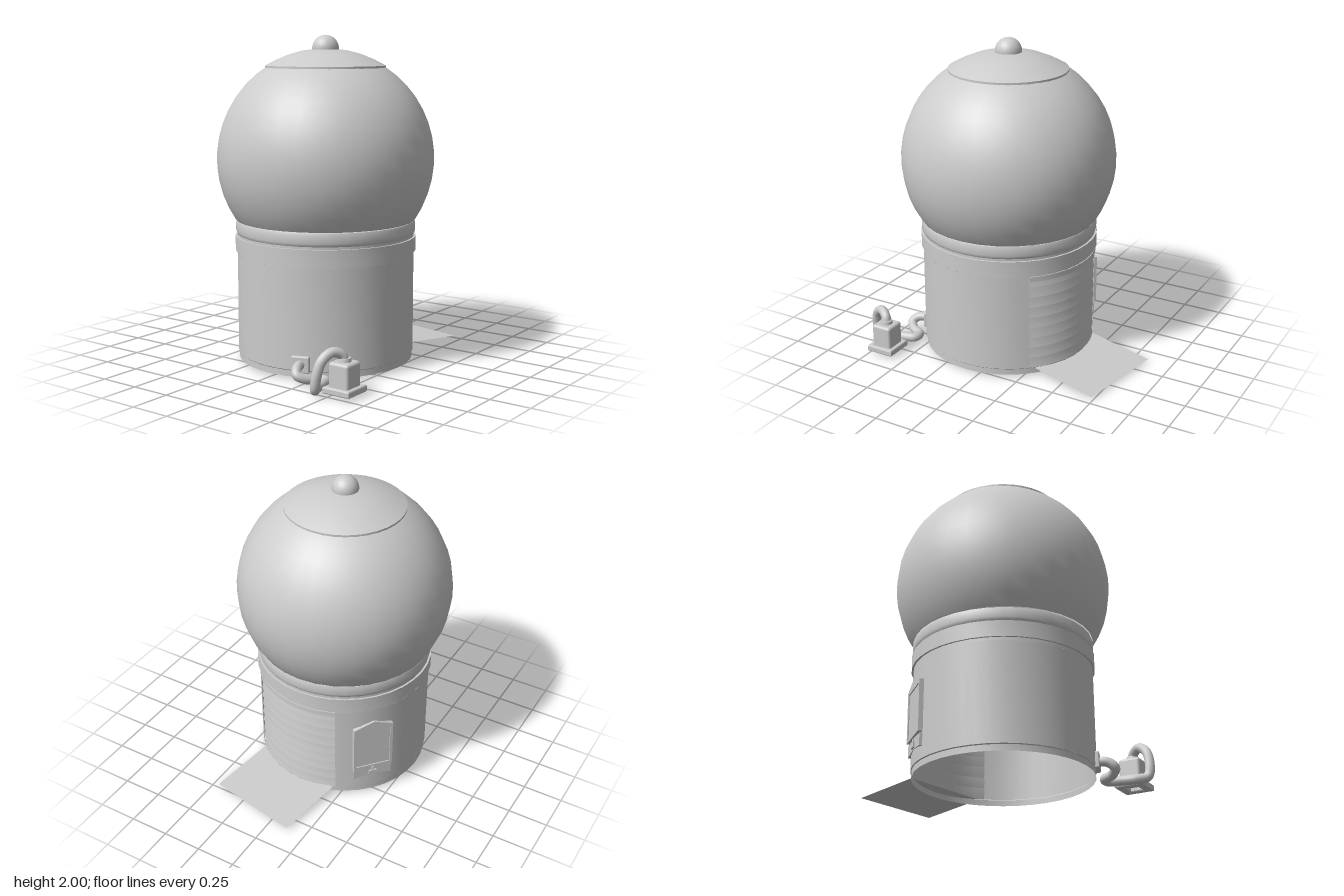
import * as THREE from 'three';
import { toCreasedNormals } from 'three/addons/utils/BufferGeometryUtils.js';
import { RoundedBoxGeometry } from 'three/addons/geometries/RoundedBoxGeometry.js';

const grey = new THREE.MeshStandardMaterial({ color: 0xcccccc, side: THREE.DoubleSide });
const rad = THREE.MathUtils.degToRad;
const AXIS_X = -0.085;

function add(parent, name, geometry, x = 0, y = 0, z = 0) {
  const mesh = new THREE.Mesh(geometry, grey);
  mesh.name = name;
  mesh.position.set(x, y, z);
  parent.add(mesh);
  return mesh;
}

// Revolved [radius, height] profile, optionally only part of a turn
function lathe(profile, from = 0, sweep = 360, segments = 36, crease = 30) {
  const points = profile.map(([r, y]) => new THREE.Vector2(r, y));
  return toCreasedNormals(new THREE.LatheGeometry(points, segments, rad(from), rad(sweep)), rad(crease));
}

function polygon(corners) {
  return new THREE.Shape(corners.map(([x, y]) => new THREE.Vector2(x, y)));
}

function square(size, Kind = THREE.Shape) {
  const h = size / 2;
  return new Kind([[-h, -h], [h, -h], [h, h], [-h, h]].map(([x, y]) => new THREE.Vector2(x, y)));
}

// Group whose +z points outwards from the tower wall; angle runs from +x towards +z
function wallGroup(parent, name, angle) {
  const group = new THREE.Group();
  group.name = name;
  group.rotation.y = rad(90 - angle);
  parent.add(group);
  return group;
}

export function createModel() {
  const model = new THREE.Group();
  const tower = new THREE.Group();
  tower.name = 'tower';
  tower.position.x = AXIS_X;
  model.add(tower);

  // Drum with a doorway, open underneath
  const R = 0.545, doorFrom = 43, doorSweep = 71;
  add(tower, 'baseRing', lathe([[0.54, 0.018], [0.54, 0.055], [R, 0.06]]));
  add(tower, 'drumWall', lathe([[R, 0.06], [R, 0.67]], doorFrom + doorSweep, 360 - doorSweep));
  add(tower, 'upperWall', lathe([[R, 0.67], [R, 0.8]]));
  add(tower, 'band', lathe([[R, 0.69], [0.557, 0.69], [0.557, 0.78], [R, 0.78]]));
  add(tower, 'collar', lathe([
    [R, 0.795], [0.55, 0.803], [0.553, 0.815], [0.553, 0.86], [0.548, 0.875], [0.535, 0.882],
  ]));

  // Roller shutter of overlapping slats
  const slats = [], count = 9, step = 0.61 / count;
  for (let i = 0; i < count; i++) {
    const y = 0.06 + i * step;
    slats.push([0.544, y], [0.532, y + step - 0.004], [0.532, y + step]);
  }
  add(tower, 'shutter', lathe(slats, doorFrom, doorSweep, 12, 25));
  add(tower, 'shutterLintel', lathe(
    [[0.53, 0.64], [0.55, 0.64], [0.55, 0.672], [0.53, 0.672]], doorFrom, doorSweep, 12));

  // Ramp sloping down from the doorway
  const entrance = wallGroup(tower, 'entrance', 10.6);
  const ramp = new THREE.PlaneGeometry(0.597, 0.435);
  ramp.rotateX(-Math.PI / 2 + Math.atan(0.038 / 0.435));
  add(entrance, 'ramp', ramp, 0, 0.038, 0.678);

  // Pointed wall panel with a tag and lock below it
  const panel = wallGroup(tower, 'wallPanel', -49);
  const w = 0.128;
  const frame = polygon([[-w, 0.22], [w, 0.22], [w, 0.54], [0, 0.585], [-w, 0.54]]);
  frame.holes.push(new THREE.Path([[-0.11, 0.235], [-0.11, 0.52], [0.11, 0.52], [0.11, 0.235]]
    .map(([x, y]) => new THREE.Vector2(x, y))));
  add(panel, 'panelFrame', new THREE.ExtrudeGeometry(frame, { depth: 0.04, bevelEnabled: false }), 0, 0, 0.517);
  add(panel, 'panelWindow', new THREE.BoxGeometry(0.22, 0.29, 0.03), 0, 0.377, 0.535);
  const tag = polygon([[-0.125, 0.135], [0, 0.15], [0.125, 0.135], [0.125, 0.21], [-0.125, 0.21]]);
  add(panel, 'panelTag', new THREE.ExtrudeGeometry(tag, { depth: 0.03, bevelEnabled: false }), 0, 0, 0.517);
  add(panel, 'panelLock', new THREE.BoxGeometry(0.05, 0.03, 0.03), 0, 0.17, 0.543);
  add(panel, 'lockPin', new THREE.CylinderGeometry(0.008, 0.008, 0.03, 8), 0, 0.195, 0.55);

  // Globe, lid and knob
  const low = Math.acos(-0.37 / 0.665), high = Math.acos(0.56 / 0.665);
  add(tower, 'globe', new THREE.SphereGeometry(0.665, 32, 12, 0, Math.PI * 2, high, low - high), 0, 1.25, 0);
  add(tower, 'lid', lathe([
    [0.355, 1.798], [0.367, 1.802], [0.367, 1.816], [0.3, 1.851], [0.22, 1.884], [0.13, 1.908], [0, 1.92],
  ]));
  add(tower, 'knob', new THREE.SphereGeometry(0.082, 24, 16), 0, 1.918, 0);

  // Plug standing on the ground
  const plug = new THREE.Group();
  plug.name = 'plug';
  plug.position.set(-0.665, 0, 0.56);
  model.add(plug);
  const foot = square(0.16);
  foot.holes.push(square(0.1, THREE.Path));
  const footGeometry = new THREE.ExtrudeGeometry(foot,
    { depth: 0.025, bevelThickness: 0.008, bevelSize: 0.01, bevelSegments: 2 });
  footGeometry.rotateX(-Math.PI / 2);
  add(plug, 'plugFoot', footGeometry, 0, 0.026, 0);
  add(plug, 'plugBody', new RoundedBoxGeometry(0.135, 0.155, 0.135, 3, 0.018), 0, 0.122, 0);
  add(plug, 'plugCollar', new THREE.CylinderGeometry(0.036, 0.04, 0.025, 20), 0, 0.208, 0);

  // Cable looping from the plug to its wall socket
  const path = new THREE.CatmullRomCurve3([
    [-0.665, 0.19, 0.56], [-0.675, 0.235, 0.55], [-0.725, 0.258, 0.52], [-0.785, 0.215, 0.49],
    [-0.81, 0.12, 0.47], [-0.8, 0.05, 0.455], [-0.74, 0.033, 0.415], [-0.65, 0.032, 0.395],
    [-0.585, 0.031, 0.37], [-0.585, 0.031, 0.315], [-0.65, 0.04, 0.285], [-0.688, 0.065, 0.24],
    [-0.655, 0.095, 0.215], [-0.57, 0.1, 0.19],
  ].map(p => new THREE.Vector3(...p)));
  add(model, 'cable', new THREE.TubeGeometry(path, 96, 0.029, 12));
  const socket = wallGroup(tower, 'socket', 159);
  add(socket, 'socketPlate', new RoundedBoxGeometry(0.11, 0.1, 0.03, 2, 0.008), 0, 0.1, 0.55);

  return model;
}
